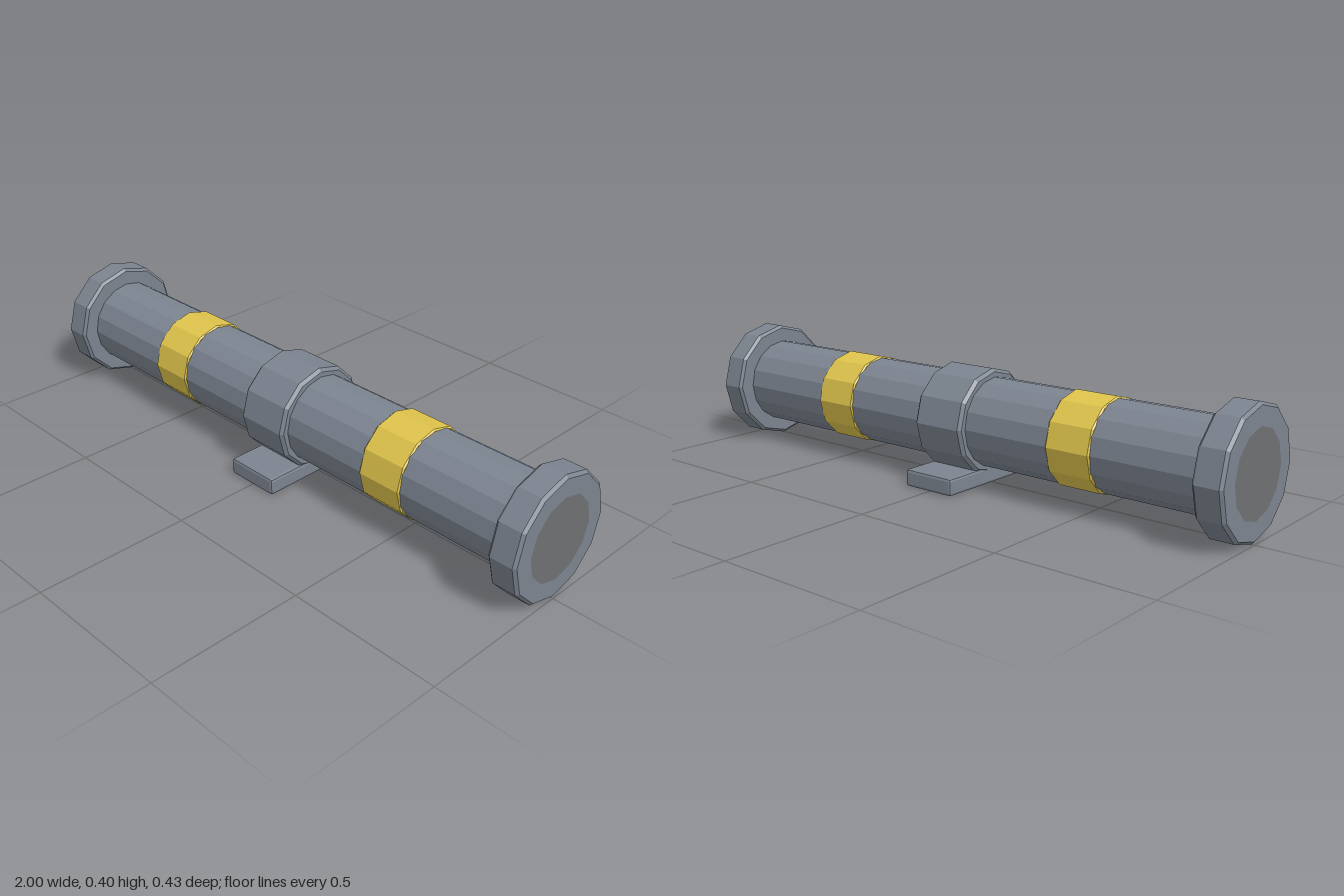
import * as THREE from 'three';
import { RoundedBoxGeometry } from 'three/addons/geometries/RoundedBoxGeometry.js';

const AXIS_Y = 0.2;

const material = (color) => new THREE.MeshStandardMaterial({ color, flatShading: true });

// Closed, chamfered faceted drum lying along x
function drum(name, radius, length, bevel, sides, mat, x = 0) {
  const h = length / 2;
  const profile = [
    [0, -h], [radius - bevel, -h], [radius, -h + bevel],
    [radius, h - bevel], [radius - bevel, h], [0, h],
  ].map(([r, y]) => new THREE.Vector2(r, y));
  const geometry = new THREE.LatheGeometry(profile, sides);
  geometry.rotateZ(-Math.PI / 2);
  const mesh = new THREE.Mesh(geometry, mat);
  mesh.name = name;
  mesh.position.set(x, AXIS_Y, 0);
  return mesh;
}

export function createModel() {
  const model = new THREE.Group();
  model.name = 'pipe';
  const steel = material(0x7c8490);
  const yellow = material(0xdfc44c);
  const darkSteel = material(0x6e7072);

  // Main tube and central clamp ring
  model.add(drum('tube', 0.143, 1.9, 0.004, 16, steel));
  model.add(drum('clampRing', 0.17, 0.186, 0.01, 12, steel));

  // Mirrored end flanges, end discs and marking bands
  for (const [side, s] of [['left', 1], ['right', -1]]) {
    model.add(drum(side + 'Flange', 0.2, 0.092, 0.009, 12, steel, s * 0.954));
    model.add(drum(side + 'Band', 0.149, 0.155, 0.005, 12, yellow, s * 0.476));

    const disc = new THREE.Mesh(new THREE.CircleGeometry(0.133, 12), darkSteel);
    disc.name = side + 'EndDisc';
    disc.rotation.y = s * Math.PI / 2;
    disc.position.set(s * 1.0005, AXIS_Y, 0);
    model.add(disc);
  }

  // Chamfered foot plate under the clamp
  const foot = new THREE.Mesh(new RoundedBoxGeometry(0.186, 0.056, 0.426, 1, 0.009), steel);
  foot.name = 'footPlate';
  foot.position.y = 0.029;
  model.add(foot);

  return model;
}
